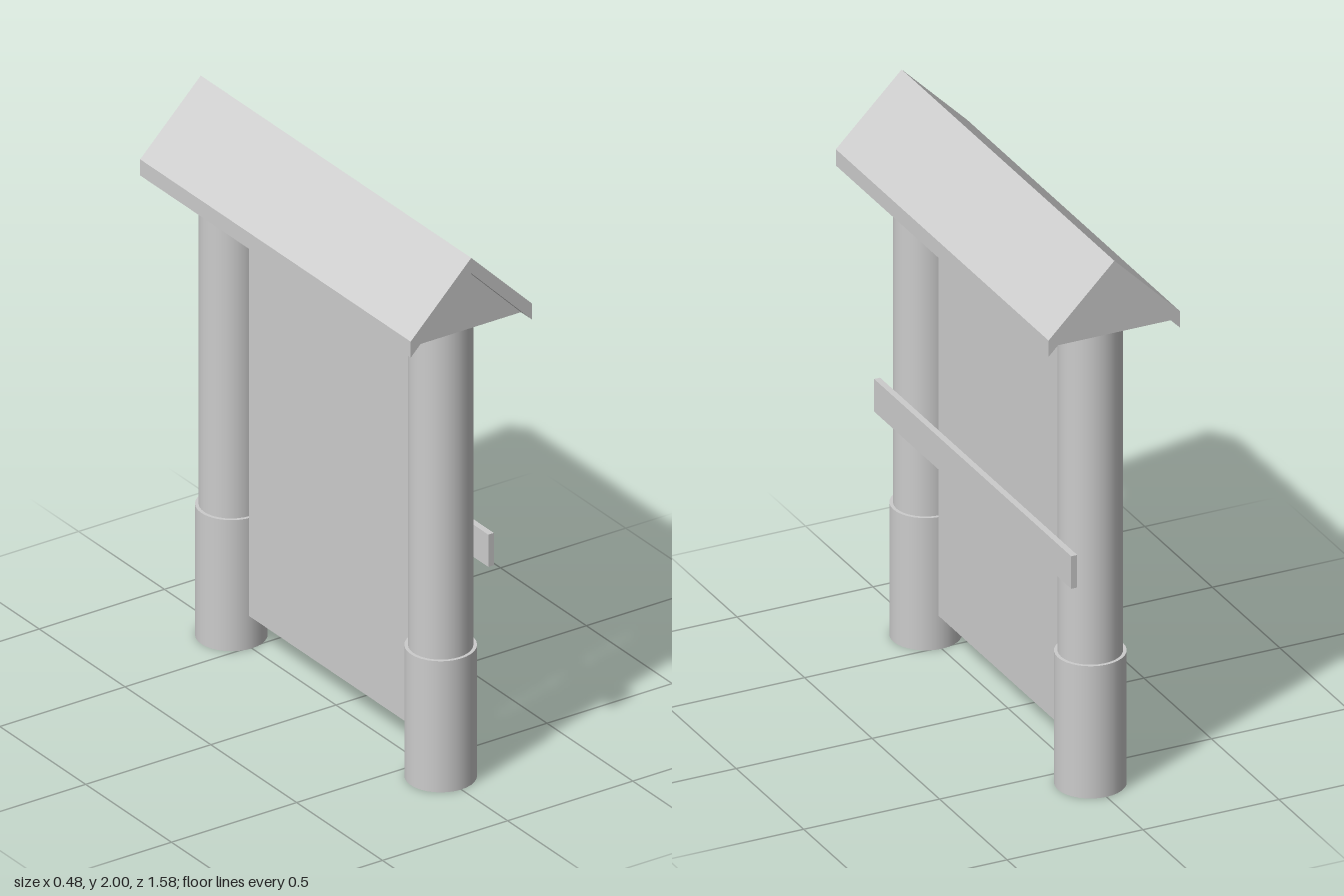
import * as THREE from 'three';

export function createModel() {
  const model = new THREE.Group();
  model.name = 'noticeBoard';
  const grey = new THREE.MeshStandardMaterial({ color: 0xcccccc });
  grey.name = 'plainGrey';

  const add = (name, geometry, x, y, z) => {
    const mesh = new THREE.Mesh(geometry, grey);
    mesh.name = name;
    mesh.position.set(x, y, z);
    model.add(mesh);
  };

  // Profile in x and y, run along z and centred on it
  const prism = (points, length) => {
    const shape = new THREE.Shape(points.map(([x, y]) => new THREE.Vector2(x, y)));
    return new THREE.ExtrudeGeometry(shape, { depth: length, bevelEnabled: false })
      .translate(0, 0, -length / 2);
  };

  // Round posts standing in wider sleeves
  const baseHeight = 0.487, eaves = 1.7;
  for (const [side, z] of [['front', 0.61], ['back', -0.61]]) {
    add(side + 'PostBase', new THREE.CylinderGeometry(0.12, 0.12, baseHeight, 32), 0, baseHeight / 2, z);
    const height = eaves - baseHeight;
    add(side + 'Post', new THREE.CylinderGeometry(0.108, 0.108, height, 32), 0, baseHeight + height / 2, z);
  }

  // Thin board between the posts
  add('boardPanel', new THREE.BoxGeometry(0.026, eaves - 0.125, 0.976), 0, (eaves + 0.125) / 2, 0);

  // Rail fixed across one side
  add('rail', new THREE.BoxGeometry(0.022, 0.12, 1.46), 0.119, 0.855, 0);

  // Pitched roof shell, with a recessed gable block filling it
  add('roof', prism([[-0.242, 1.7], [0, 1.943], [0.242, 1.7], [0.242, 1.76], [0, 2], [-0.242, 1.76]], 1.576), 0, 0, 0);
  add('gableBlock', prism([[-0.242, 1.7], [0.242, 1.7], [0, 1.943]], 1.45), 0, 0, 0);

  return model;
}
